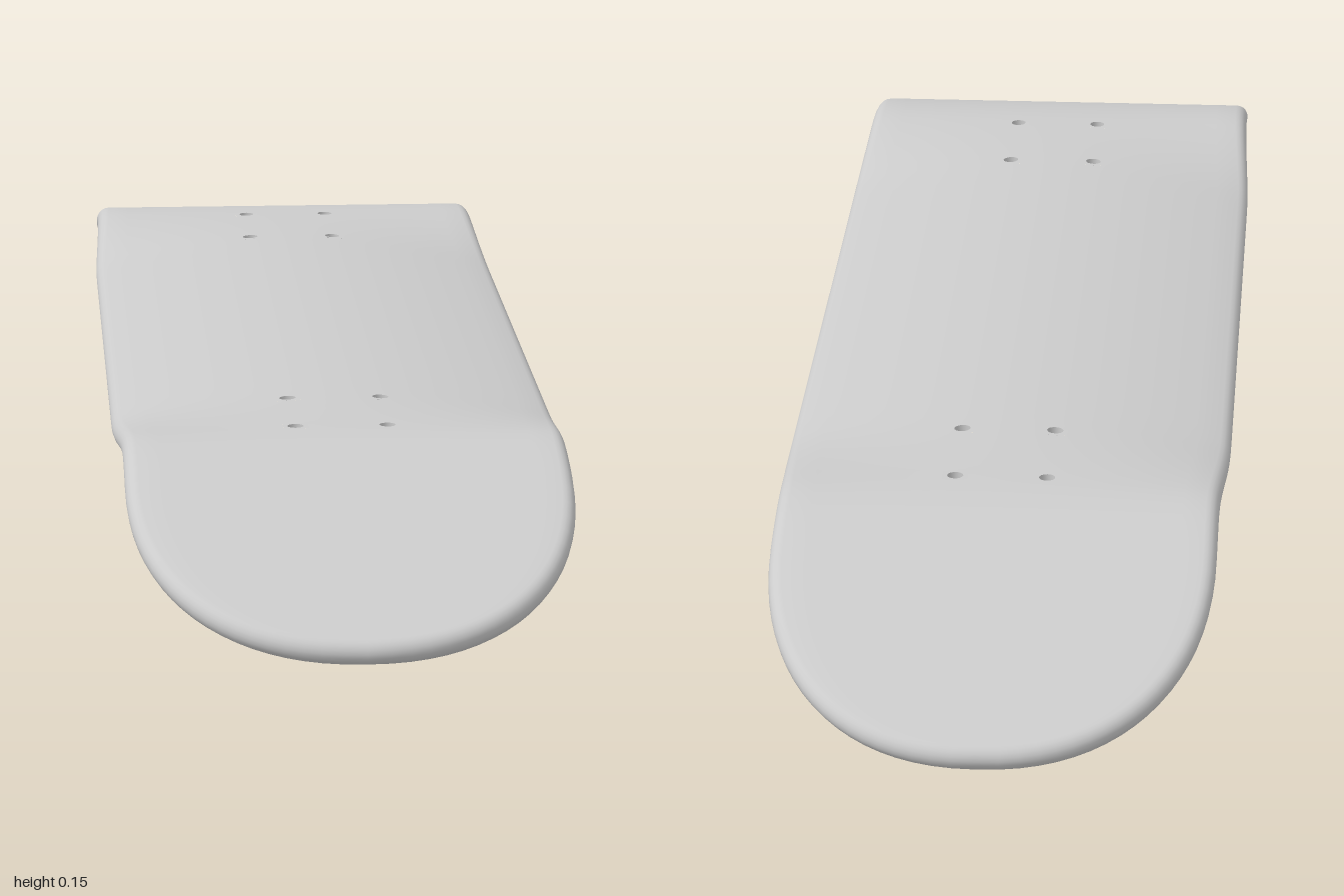
import * as THREE from 'three';
import { toCreasedNormals } from 'three/addons/utils/BufferGeometryUtils.js';

const R = 0.0145;                        // half thickness, also the rim radius
const HALF_W = 0.245, TIP_START = 0.7, TIP_LEN = 0.3, POWER = 2.25;
const HOLE_R = 0.009, CELL = 0.014, HOLE_X = 0.051, HOLE_Z = [0.435, 0.57];

// 1 along the middle of the board, fading to 0 where the ends begin
const camber = z => 1 - THREE.MathUtils.smoothstep(Math.abs(z), 0.38, 0.64);

// Height of the mid surface: arched across the middle, bent down at both ends
function height(x, z) {
  const b0 = 0.58, b1 = 0.72, slope = 0.37, d = Math.abs(z);
  let drop = 0;
  if (d > b1) drop = slope * (d - (b0 + b1) / 2);
  else if (d > b0) drop = slope * (d - b0) ** 2 / (2 * (b1 - b0));
  return 0.138 - drop - 0.031 * camber(z) * (x / HALF_W) ** 2;
}

// Point at distance h along the normal of the mid surface
function point(x, z, h) {
  const e = 0.002;
  const n = new THREE.Vector3(
    (height(x - e, z) - height(x + e, z)) / (2 * e), 1,
    (height(x, z - e) - height(x, z + e)) / (2 * e)).normalize();
  return new THREE.Vector3(x * (1 + 0.028 * camber(z)), height(x, z), z).addScaledVector(n, h);
}

// Right-hand outline from the back tip to the front tip: position and outward normal
function outline() {
  const half = [0, 0.1, 0.2, 0.3, 0.36, 0.4, 0.48, 0.52, 0.6, 0.62, 0.64, 0.66, 0.68, 0.7];
  for (const z of HOLE_Z) half.push(z - CELL, z + CELL);
  const pts = half.sort((a, b) => a - b).map(z => ({ x: HALF_W, z, nx: 1, nz: 0 }));
  const steps = 20;
  for (let i = 1; i <= steps; i++) {
    const t = i / steps * Math.PI / 2;
    const c = i === steps ? 0 : Math.cos(t) ** (2 / POWER), s = Math.sin(t) ** (2 / POWER);
    const n = new THREE.Vector2(c ** (POWER - 1) / HALF_W, s ** (POWER - 1) / TIP_LEN).normalize();
    pts.push({ x: HALF_W * c, z: TIP_START + TIP_LEN * s, nx: n.x, nz: n.y });
  }
  const back = pts.slice(1).reverse().map(p => ({ ...p, z: -p.z, nz: -p.nz }));
  return [...back, ...pts];
}

function deckGeometry() {
  const pos = [];
  const tri = (a, b, c) => {
    if (a.distanceTo(b) < 1e-6 || b.distanceTo(c) < 1e-6 || a.distanceTo(c) < 1e-6) return;
    for (const p of [a, b, c]) pos.push(p.x, p.y, p.z);
  };
  const quad = (a, b, c, d, flip = false) => {
    if (flip) { tri(a, c, b); tri(a, d, c); } else { tri(a, b, c); tri(a, c, d); }
  };

  const rows = outline();
  const inner = rows.map(p => ({ x: p.x - R * p.nx, z: p.z - R * p.nz }));
  const width = HALF_W - R;
  const right = [0.018, HOLE_X - CELL, HOLE_X + CELL, 0.095, 0.125, 0.155, 0.18, 0.205, width];
  const cols = [...right.map(x => -x).reverse(), 0, ...right].map(x => x / width);
  const isHole = (x, z) => Math.abs(Math.abs(x) - HOLE_X) < 0.005 &&
    HOLE_Z.some(h => Math.abs(Math.abs(z) - h) < 0.005);

  // Top and bottom faces, leaving out the cells that hold bolt holes
  for (let i = 0; i < rows.length - 1; i++) {
    for (let j = 0; j < cols.length - 1; j++) {
      const A = inner[i], B = inner[i + 1];
      const cx = (cols[j] + cols[j + 1]) / 2 * A.x, cz = (A.z + B.z) / 2;
      if (isHole(cx, cz)) { boltHole(cx, cz); continue; }
      for (const h of [R, -R]) {
        quad(point(A.x * cols[j], A.z, h), point(B.x * cols[j], B.z, h),
          point(B.x * cols[j + 1], B.z, h), point(A.x * cols[j + 1], A.z, h), h < 0);
      }
    }
  }

  // Square-to-round surround on both faces plus the wall of the hole
  function boltHole(cx, cz) {
    const n = 16;
    const at = (k, square, h) => {
      const c = Math.cos(k / n * 2 * Math.PI), s = Math.sin(k / n * 2 * Math.PI);
      const r = square ? CELL / Math.max(Math.abs(c), Math.abs(s)) : HOLE_R;
      return point(cx + r * c, cz + r * s, h);
    };
    for (let k = 0; k < n; k++) {
      for (const h of [R, -R]) {
        quad(at(k, true, h), at(k, false, h), at(k + 1, false, h), at(k + 1, true, h), h < 0);
      }
      quad(at(k, false, R), at(k, false, -R), at(k + 1, false, -R), at(k + 1, false, R));
    }
  }

  // Half-round rim along both sides
  const arc = 10;
  const rim = (i, k, side) => {
    const a = Math.PI / 2 - k / arc * Math.PI, out = R * Math.cos(a);
    return point(side * (inner[i].x + out * rows[i].nx), inner[i].z + out * rows[i].nz, R * Math.sin(a));
  };
  for (const side of [1, -1]) {
    for (let i = 0; i < rows.length - 1; i++) {
      for (let k = 0; k < arc; k++) {
        quad(rim(i, k, side), rim(i + 1, k, side), rim(i + 1, k + 1, side), rim(i, k + 1, side), side < 0);
      }
    }
  }

  const geo = new THREE.BufferGeometry();
  geo.setAttribute('position', new THREE.Float32BufferAttribute(pos, 3));
  // Enlarged while creasing so that close vertices stay distinct
  geo.scale(100, 100, 100);
  const smooth = toCreasedNormals(geo, 0.7);
  smooth.scale(0.01, 0.01, 0.01);
  return smooth;
}

export function createModel() {
  const group = new THREE.Group();
  group.name = 'skateboardDeck';
  const deck = new THREE.Mesh(deckGeometry(), new THREE.MeshStandardMaterial({ color: 0xcccccc }));
  deck.name = 'deck';
  deck.geometry.computeBoundingBox();
  deck.position.y = -deck.geometry.boundingBox.min.y;
  group.add(deck);
  return group;
}
